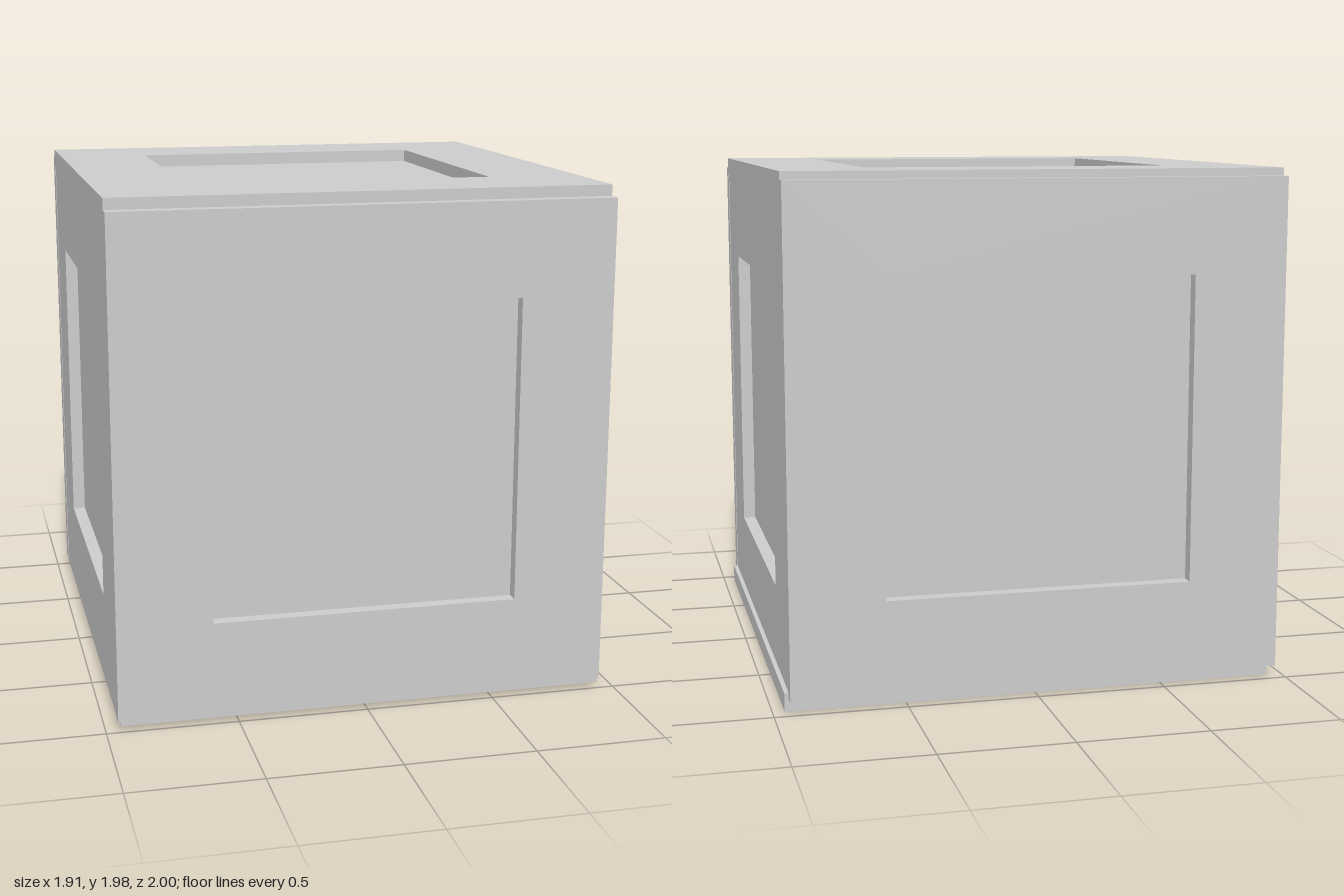
import * as THREE from 'three';

const OUTER = 0.9475, INNER = 0.5875; // half sizes of a frame and its opening
const THICK = 0.07, RECESS = 0.05;

// One mitred board of a frame, outer face at z = 0
function boardGeometry() {
  const shape = new THREE.Shape([
    new THREE.Vector2(-OUTER, -OUTER),
    new THREE.Vector2(OUTER, -OUTER),
    new THREE.Vector2(INNER, -INNER),
    new THREE.Vector2(-INNER, -INNER),
  ]);
  const geo = new THREE.ExtrudeGeometry(shape, { depth: THICK, bevelEnabled: false });
  return geo.translate(0, 0, -THICK);
}

export function createModel() {
  const crate = new THREE.Group();
  crate.name = 'crate';
  const material = new THREE.MeshStandardMaterial({ color: 0xcccccc, flatShading: true });
  const board = boardGeometry();
  const insetDepth = THICK - RECESS;
  const inset = new THREE.BoxGeometry(INNER * 2 + 0.1, INNER * 2 + 0.1, insetDepth);
  const q = Math.PI / 2;

  // name, centre of outer face, rotation about x, rotation about y
  const sides = [
    ['front', [-0.0075, 0.985, 1], 0, 0],
    ['back', [-0.0075, 0.9975, -1], 0, 2 * q],
    ['right', [0.938, 0.97, -0.0025], 0, q],
    ['left', [-0.953, 0.985, 0], 0, -q],
    ['top', [-0.0075, 1.975, -0.005], -q, 0],
    ['bottom', [0.0075, 0, -0.0025], q, 0],
  ];

  for (const [name, position, rx, ry] of sides) {
    const panel = new THREE.Group();
    panel.name = name + 'Panel';

    // Four mitred frame boards
    for (let i = 0; i < 4; i++) {
      const bar = new THREE.Mesh(board, material);
      bar.name = name + 'FrameBoard' + (i + 1);
      bar.rotation.z = i * q;
      panel.add(bar);
    }

    // Recessed centre
    const centre = new THREE.Mesh(inset, material);
    centre.name = name + 'Inset';
    centre.position.z = -RECESS - insetDepth / 2;
    panel.add(centre);

    panel.position.set(...position);
    panel.rotation.set(rx, ry, 0);
    crate.add(panel);
  }
  return crate;
}
